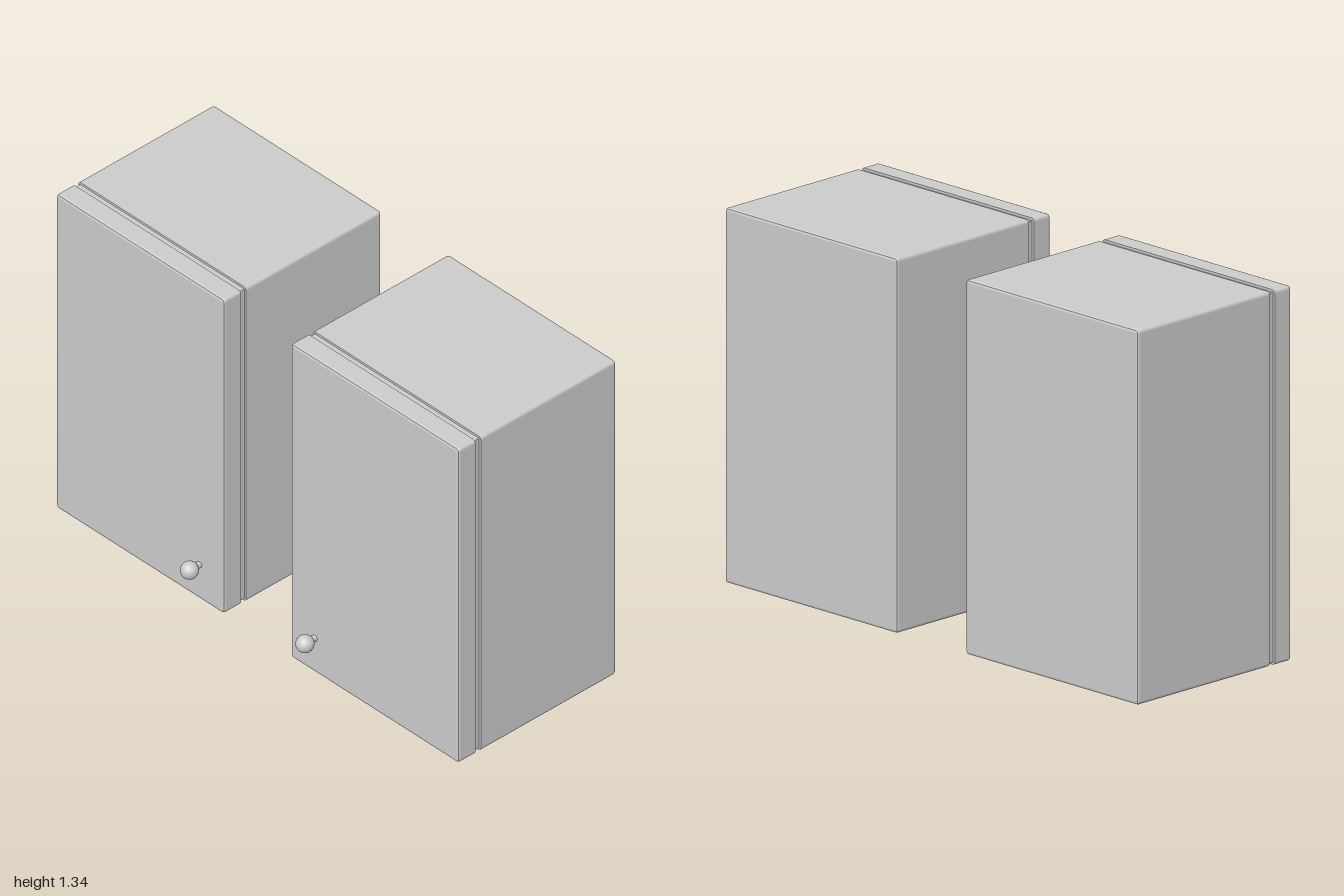
import * as THREE from 'three';

const W = 0.834, H = 1.34, EDGE = 0.01;
const material = new THREE.MeshStandardMaterial({ color: 0xcccccc });

function part(name, geometry, parent) {
  const mesh = new THREE.Mesh(geometry, material);
  mesh.name = name;
  parent.add(mesh);
  return mesh;
}

// Panel with eased long edges and one eased face at z = depth; the face at z = 0 stays square
function easedBox(depth) {
  const x = W / 2, y = H / 2, r = EDGE * 1.2;
  const outline = new THREE.Shape();
  outline.moveTo(x, y - r);
  outline.absarc(x - r, y - r, r, 0, Math.PI / 2);
  outline.absarc(-x + r, y - r, r, Math.PI / 2, Math.PI);
  outline.absarc(-x + r, -y + r, r, Math.PI, Math.PI * 1.5);
  outline.absarc(x - r, -y + r, r, Math.PI * 1.5, Math.PI * 2);
  const geometry = new THREE.ExtrudeGeometry(outline, {
    depth: depth - EDGE, curveSegments: 2, bevelEnabled: true, bevelSegments: 2,
    bevelSize: EDGE, bevelThickness: EDGE, bevelOffset: -EDGE,
  });
  // Flatten the bevel on the inner side
  const pos = geometry.attributes.position;
  for (let i = 0; i < pos.count; i++) pos.setZ(i, Math.max(0, pos.getZ(i)));
  geometry.computeVertexNormals();
  return geometry;
}

function createCabinet(side) {
  const cabinet = new THREE.Group();
  cabinet.name = side > 0 ? 'leftCabinet' : 'rightCabinet';
  cabinet.position.x = side * (1 - W / 2);

  // Carcass, with its eased face at the back
  const body = part('cabinetBody', easedBox(0.635), cabinet);
  body.rotation.y = Math.PI;
  body.position.set(0, H / 2, 0.225);

  // Recessed strip between carcass and door
  const gap = part('doorGap', new THREE.BoxGeometry(W - 0.018, H - 0.018, 0.03), cabinet);
  gap.position.set(0, H / 2, 0.2375);

  // Door, with its eased face at the front
  const door = part('door', easedBox(0.08), cabinet);
  door.position.set(0, H / 2, 0.25);

  // Ball knob on a short stem, near the lower inner corner
  const knob = new THREE.Group();
  knob.name = 'knob';
  knob.position.set(side * (0.287 - (1 - W / 2)), 0.147, 0.33);
  knob.rotation.x = Math.PI / 2;
  cabinet.add(knob);
  const stem = part('knobStem', new THREE.CylinderGeometry(0.012, 0.012, 0.03, 16), knob);
  stem.position.y = 0.014;
  const ball = part('knobBall', new THREE.SphereGeometry(0.033, 16, 12), knob);
  ball.position.y = 0.047;
  return cabinet;
}

export function createModel() {
  const model = new THREE.Group();
  model.name = 'wallCabinets';
  for (const side of [-1, 1]) model.add(createCabinet(side));
  return model;
}
